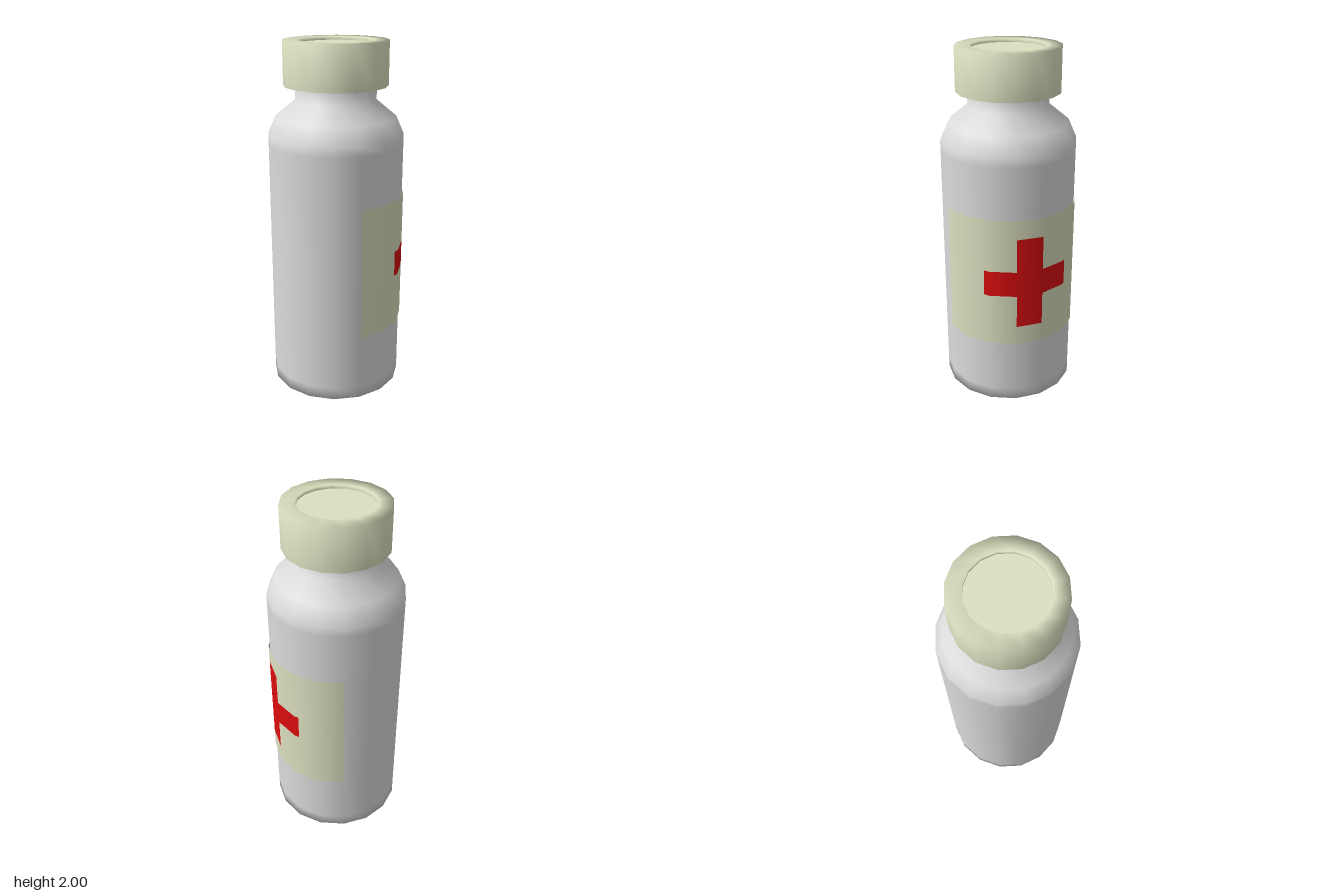
import * as THREE from 'three';

const SIDES = 16;

function material(name, color) {
  const m = new THREE.MeshStandardMaterial({ color });
  m.name = name;
  return m;
}

// Sixteen-sided turned part from [radius, height] pairs, outside face on the right of the path
function turned(name, profile, mat) {
  const points = profile.map(([r, y]) => new THREE.Vector2(r, y));
  const mesh = new THREE.Mesh(new THREE.LatheGeometry(points, SIDES), mat);
  mesh.name = name;
  return mesh;
}

// Curved label grid: columns count body facets from the front, round to the left side
function labelGeometry(columns, rows, radius, isCross) {
  const positions = [], normals = [], index = [[], []];
  const step = (Math.PI * 2) / SIDES;
  const corner = (i) => new THREE.Vector2(Math.sin(i * step), Math.cos(i * step));
  for (const u of columns) {
    const i = Math.floor(u);
    const p = corner(i).lerp(corner(i + 1), u - i); // stays on the flat facet
    const n = p.clone().normalize();
    for (const y of rows) {
      positions.push(p.x * radius, y, p.y * radius);
      normals.push(n.x, 0, n.y);
    }
  }
  const h = rows.length;
  for (let c = 0; c < columns.length - 1; c++) {
    for (let r = 0; r < h - 1; r++) {
      const a = c * h + r, b = a + h;
      const u = (columns[c] + columns[c + 1]) / 2;
      index[isCross(u, r) ? 1 : 0].push(a, b, b + 1, a, b + 1, a + 1);
    }
  }
  const g = new THREE.BufferGeometry();
  g.setAttribute('position', new THREE.Float32BufferAttribute(positions, 3));
  g.setAttribute('normal', new THREE.Float32BufferAttribute(normals, 3));
  g.setIndex([...index[0], ...index[1]]);
  g.addGroup(0, index[0].length, 0);
  g.addGroup(index[0].length, index[1].length, 1);
  return g;
}

export function createModel() {
  const glass = material('pale grey', 0xdcdcdc);
  const cream = material('cream', 0xdde0c0);
  const red = material('red', 0xdc0d0f);

  const model = new THREE.Group();
  model.name = 'medicineBottle';

  // Bottle with rounded shading at the base and a stepped shoulder
  const bottle = new THREE.Group();
  bottle.name = 'bottle';
  bottle.position.x = -0.006;
  bottle.add(turned('body', [
    [0, 0], [0.3, 0], [0.38, 0], [0.38, 0.07], [0.38, 1.44], [0.38, 1.49],
    [0.335, 1.59], [0.225, 1.68], [0.225, 1.78],
  ], glass));

  // Cap: softly shaded rim, flat underside, recessed top
  const cap = new THREE.Group();
  cap.name = 'cap';
  cap.add(
    turned('capRim', [[0.29, 1.757], [0.29, 2], [0.207, 2], [0.207, 1.98]], cream),
    turned('capUnderside', [[0.2, 1.757], [0.29, 1.757]], cream),
    turned('capTop', [[0.207, 1.98], [0, 1.98]], cream),
  );
  bottle.add(cap);
  model.add(bottle);

  // Wrapped label with a cross
  const columns = [0, 1, 1.76, 2, 3, 4, 5, 5.18, 6, 7];
  const rows = [0.387, 0.5, 0.695, 0.845, 1.04, 1.15];
  const isCross = (u, row) =>
    (u > 3 && u < 4 && row >= 1 && row <= 3) || (u > 1.76 && u < 5.18 && row === 2);
  const paper = labelGeometry(columns, rows, 0.383, isCross);
  const label = new THREE.Mesh(paper, [cream, red].map((m) => {
    m.side = THREE.DoubleSide;
    return m;
  }));
  label.name = 'label';
  label.position.x = -0.001;
  model.add(label);

  return model;
}
